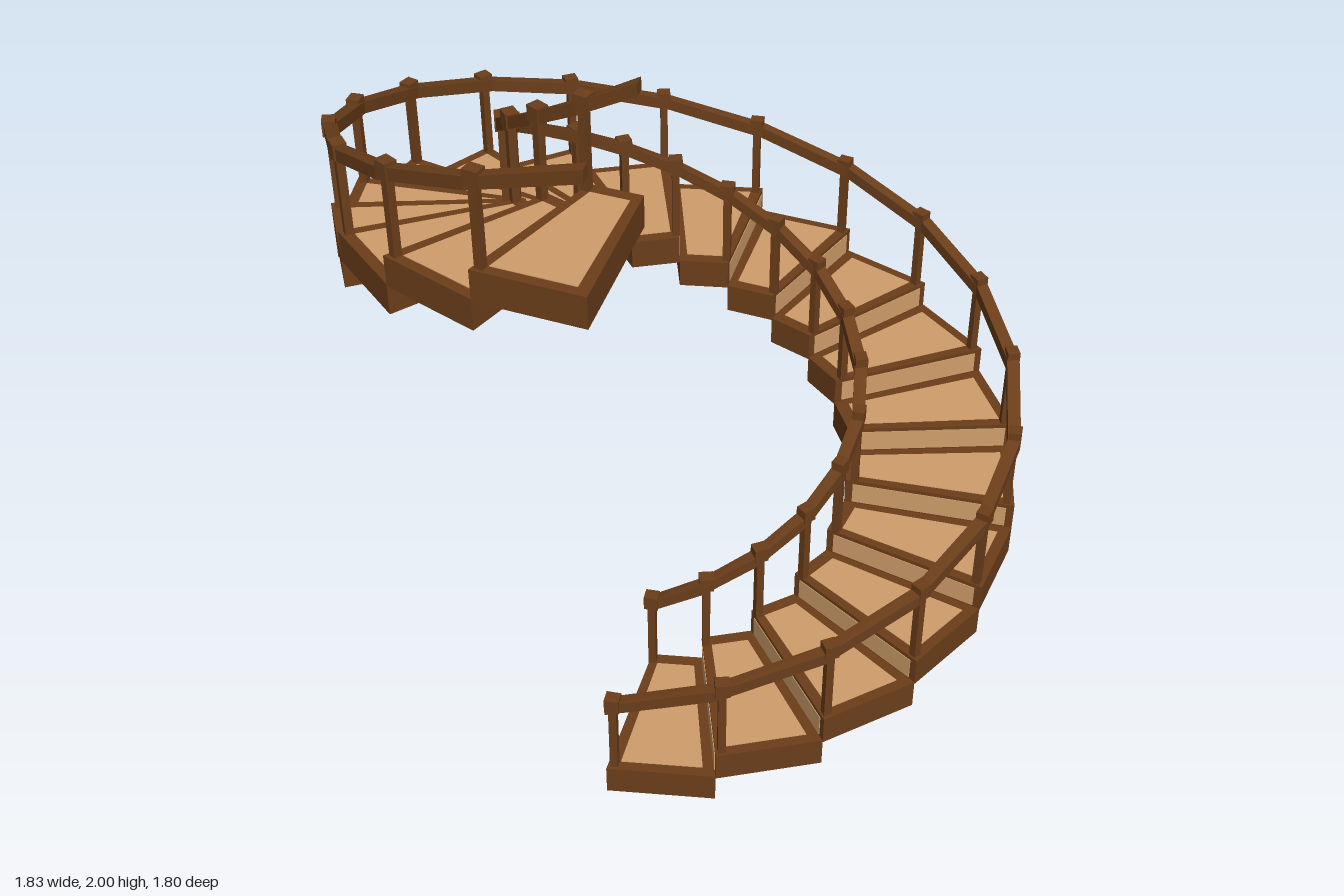
import * as THREE from 'three';
import { ConvexGeometry } from 'three/addons/geometries/ConvexGeometry.js';

const STEPS = 20, RISE = 0.0833, THICK = 0.09;
const OUTER = 1, INNER = 0.487;            // tread edges as fractions of the plan curve
const RAILS = [['outer', 0.974], ['inner', 0.513]];

const dark = new THREE.MeshStandardMaterial({ color: 0x6b3e1a, flatShading: true });
const light = new THREE.MeshStandardMaterial({ color: 0xd09e6b, flatShading: true });

// Point on the slightly skewed oval plan: t counts steps, f is the radial fraction
function plan(t, f, y) {
  const rad = THREE.MathUtils.degToRad;
  return new THREE.Vector3(
    0.925 * f * Math.sin(rad(224 - 18 * t)), y,
    0.9 * f * Math.sin(rad(140 - 18 * t)));
}

function solid(name, points, material) {
  const mesh = new THREE.Mesh(new ConvexGeometry(points), material);
  mesh.name = name;
  return mesh;
}

// Wedge block; [start, end] at the inner and the outer edge
function wedge(name, fIn, fOut, spanIn, spanOut, y0, y1, material) {
  const pts = [];
  for (const y of [y0, y1]) {
    for (const t of spanIn) pts.push(plan(t, fIn, y));
    for (const t of spanOut) pts.push(plan(t, fOut, y));
  }
  return solid(name, pts, material);
}

function makeStep(i) {
  const g = new THREE.Group();
  g.name = 'step';
  const y = i * RISE, top = y + THICK;
  g.add(wedge('stepBody', INNER, OUTER, [i, i + 1], [i, i + 1], y, top, dark));
  // light tread and riser panels set in the dark frame
  g.add(wedge('treadPanel', 0.525, 0.962, [i + 0.16, i + 0.84], [i + 0.11, i + 0.89],
    top - 0.01, top + 0.002, light));
  g.add(wedge('riserPanel', 0.51, 0.977, [i - 0.014, i + 0.05], [i - 0.008, i + 0.03],
    y + 0.012, top - 0.012, light));
  return g;
}

// Square post with a small cap block, turned to face along the stair
function makePost(i, f) {
  const g = new THREE.Group();
  g.name = 'railPost';
  const t = i + 0.06, base = i * RISE + THICK, capY = i * RISE + 0.334;
  const h = capY - base;
  const post = new THREE.Mesh(new THREE.BoxGeometry(0.022, h, 0.022), dark);
  post.name = 'post';
  post.position.y = base + h / 2;
  const cap = new THREE.Mesh(new THREE.BoxGeometry(0.04, 0.044, 0.036), dark);
  cap.name = 'postCap';
  cap.position.y = capY;
  g.add(post, cap);
  const p = plan(t, f, 0);
  const dir = plan(t + 0.1, f, 0).sub(p);
  g.position.copy(p);
  g.rotation.y = Math.atan2(-dir.z, dir.x);
  return g;
}

// One straight handrail length between neighbouring posts
function railSegment(i, f) {
  const pts = [];
  for (const t of [i, i + 1])
    for (const df of [-0.019, 0.019])
      for (const dy of [-0.018, 0.018])
        pts.push(plan(t, f + df, 0.317 + t * RISE + dy));
  return solid('handrail', pts, dark);
}

export function createModel() {
  const model = new THREE.Group();
  model.name = 'spiralStaircase';
  for (let i = 0; i < STEPS; i++) model.add(makeStep(i));
  for (const [side, f] of RAILS) {
    const railing = new THREE.Group();
    railing.name = side + 'Railing';
    for (let i = 0; i < STEPS; i++) railing.add(makePost(i, f), railSegment(i, f));
    model.add(railing);
  }
  return model;
}
